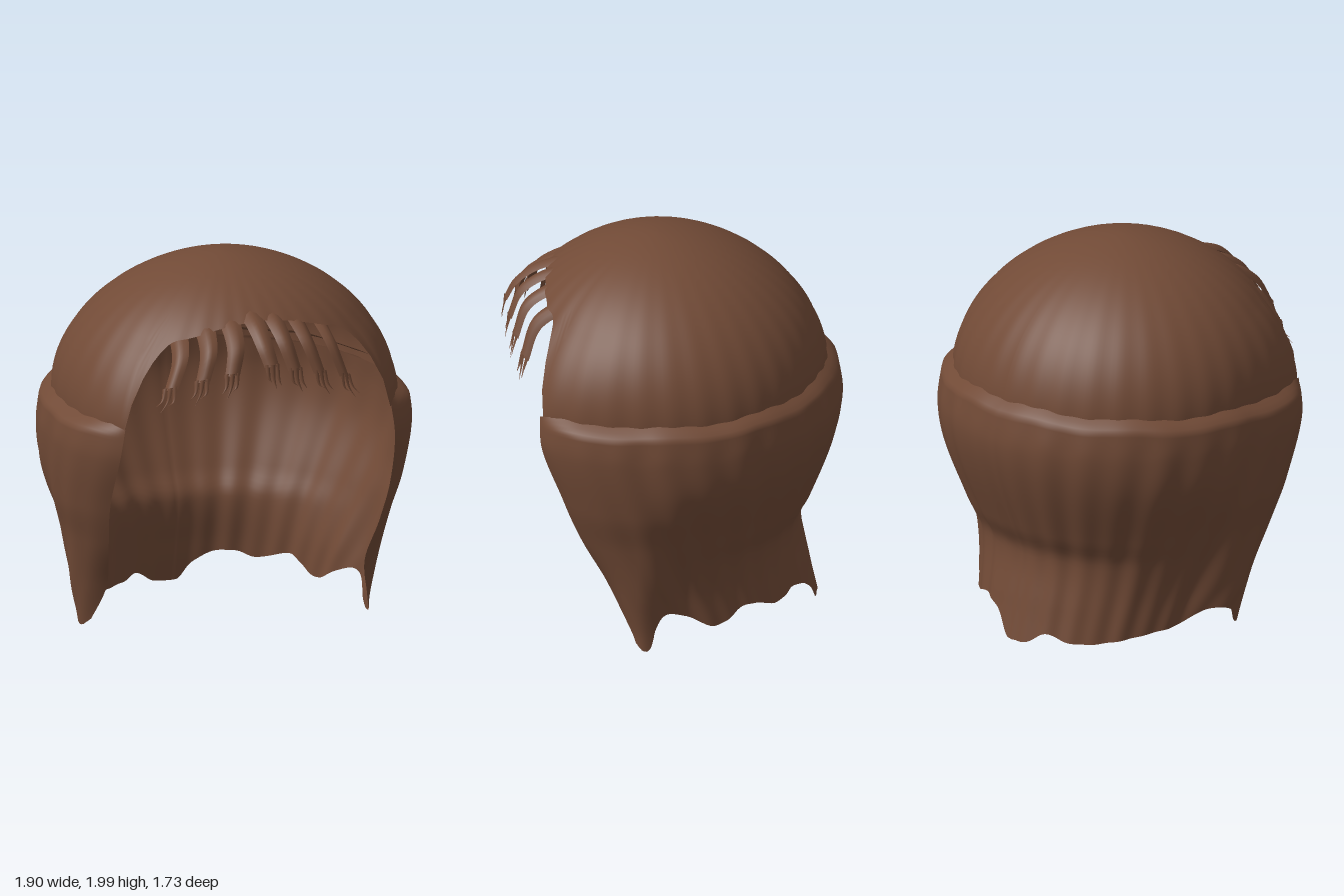
import * as THREE from 'three';

// Smooth curve through [position, value] pairs
function curve(p) {
  const n = p.length - 1;
  const slope = (i) => {
    const a = p[Math.max(0, i - 1)], b = p[Math.min(n, i + 1)];
    return (b[1] - a[1]) / (b[0] - a[0]);
  };
  return (x) => {
    if (x <= p[0][0]) return p[0][1];
    if (x >= p[n][0]) return p[n][1];
    let i = 0;
    while (x > p[i + 1][0]) i++;
    const h = p[i + 1][0] - p[i][0], t = (x - p[i][0]) / h, t2 = t * t, t3 = t2 * t;
    return (2 * t3 - 3 * t2 + 1) * p[i][1] + (t3 - 2 * t2 + t) * h * slope(i)
      + (3 * t2 - 2 * t3) * p[i + 1][1] + (t3 - t2) * h * slope(i + 1);
  };
}

// Surface from a rule fn(u, v) -> [x, y, z]; v runs downwards
function sheet(cols, rows, fn) {
  const pos = [], idx = [];
  for (let j = 0; j <= rows; j++)
    for (let i = 0; i <= cols; i++) pos.push(...fn(i / cols, j / rows));
  const w = cols + 1;
  for (let j = 0; j < rows; j++)
    for (let i = 0; i < cols; i++) {
      const a = j * w + i;
      idx.push(a, a + w, a + 1, a + 1, a + w, a + w + 1);
    }
  const g = new THREE.BufferGeometry();
  g.setAttribute('position', new THREE.Float32BufferAttribute(pos, 3));
  g.setIndex(idx);
  g.computeVertexNormals();
  return g;
}

// Radius of a superellipse in the direction phi (0 = front)
function radius(phi, rx, rz, n) {
  const s = Math.abs(Math.sin(phi)) / rx, c = Math.abs(Math.cos(phi)) / rz;
  return Math.pow(Math.pow(s, n) + Math.pow(c, n), -1 / n);
}

// Lower rim of the cap by angle: arched over the face
const rim = curve([[0, 1.79], [0.3, 1.77], [0.6, 1.72], [0.74, 1.69], [0.82, 1.6],
  [0.87, 1.45], [0.91, 1.25], [1.1, 1.25], [3.15, 1.29]]);

function capPoint(u, v) {
  const phi = (u * 2 - 1) * Math.PI, y0 = rim(Math.abs(phi));
  const a = v * Math.acos(Math.min(1, Math.max(0, (y0 - 1.25) / 0.75)));
  const y = 1.25 + 0.75 * Math.cos(a), s = Math.max(0, (y - 1.28) / 0.72);
  const front = Math.max(0, Math.cos(phi));
  const n = 2 + 0.45 * Math.max(0, 1 - s / 0.55) * Math.min(1, front * 3);
  const k = Math.pow(Math.max(0, 1 - s * s), 0.55);
  const r = k * (radius(phi, 0.87, 0.83, n) + 0.003 * Math.sin(phi * 34) * v);
  return [r * Math.sin(phi), y, 0.04 + 0.04 * s + r * Math.cos(phi)];
}

// Long hair: section sizes by height; the nape is narrower than the side flaps
const sideR = curve([[0, 0.78], [0.1, 0.785], [0.3, 0.82], [0.6, 0.865], [0.8, 0.915], [1.1, 0.945], [1.3, 0.925]]);
const napeR = curve([[0, 0.67], [0.1, 0.68], [0.3, 0.71], [0.6, 0.81], [0.9, 0.925], [1.1, 0.945], [1.3, 0.925]]);
const backR = curve([[0, 0.78], [0.2, 0.735], [0.47, 0.69], [0.6, 0.75], [0.9, 0.865], [1.1, 0.905], [1.3, 0.88]]);
const frontR = curve([[0, 0.2], [0.1, 0.2], [0.35, 0.31], [0.6, 0.49], [0.85, 0.6], [1.1, 0.697], [1.28, 0.7]]);
const edgeAngle = curve([[0, 1.49], [0.1, 1.44], [0.35, 1.25], [0.6, 1.113], [0.85, 1.023], [1.1, 0.923], [1.28, 0.895]]);
// Ragged hem from the front edge (0) to the middle of the back (1)
const hemLeft = curve([[0, 0.05], [0.02, 0.01], [0.05, 0.02], [0.1, 0.12], [0.17, 0.2], [0.24, 0.17],
  [0.33, 0.1], [0.4, 0.11], [0.5, 0.18], [0.55, 0.18], [0.665, 0.14], [0.76, 0.17], [0.845, 0.16],
  [0.924, 0.1], [0.97, 0.02], [1, 0.01]]);
const hemRight = curve([[0, 0.14], [0.02, 0.1], [0.05, 0.11], [0.1, 0.18], [0.18, 0.19], [0.27, 0.12],
  [0.36, 0.1], [0.45, 0.08], [0.55, 0.06], [0.65, 0.045], [0.76, 0.05], [0.84, 0.08], [0.92, 0.02], [1, 0.01]]);

function longPoint(U, V) {
  const left = U <= 0.5, u = left ? 2 * U : 2 - 2 * U, v = Math.pow(V, 1.3);
  const top = 1.27 + 0.05 * u + 0.006 * Math.sin(u * 23);
  let y = top + (Math.max(0, (left ? hemLeft : hemRight)(u)) - top) * v;
  const e = edgeAngle(y), phi = e + u * (Math.PI - e);
  const front = phi < Math.PI / 2;
  const fold = THREE.MathUtils.smoothstep(phi, 1.5, 1.85);
  const rx = THREE.MathUtils.lerp(sideR(y), napeR(y), fold);
  let r = radius(phi, rx, front ? frontR(y) : backR(y), front ? 3 : 2);
  // Strand ripples, and a rounded shoulder meeting the cap
  const wave = Math.sin(u * 62) * 0.6 + Math.sin(u * 37 + 1) * 0.4;
  r += 0.007 * wave * Math.min(1, u * 5) * Math.min(1, v * 8);
  const shoulder = Math.min(1, u * 8) * Math.pow(Math.max(0, 1 - v / 0.04), 2);
  r *= 1 - 0.1 * shoulder;
  y += 0.03 * shoulder;
  return [(left ? 1 : -1) * r * Math.sin(phi), y, 0.04 + r * Math.cos(phi)];
}

// Curved ribbon following points, half width w(t), facing outward at angle turn
function ribbon(points, turn, w) {
  const path = new THREE.CatmullRomCurve3(points);
  return sheet(4, 14, (u, v) => {
    const p = path.getPoint(v), k = u * 2 - 1, d = k * w(v), bend = w(v) * k * k;
    return [p.x + d * Math.cos(turn) - bend * 0.5 * Math.sin(turn),
      p.y - d * 0.5 * Math.sin(turn) - bend * 0.25,
      p.z - d * Math.sin(turn) - bend * 0.5 * Math.cos(turn)];
  });
}

export function createModel() {
  const model = new THREE.Group();
  model.name = 'wig';
  const hair = new THREE.MeshStandardMaterial({ color: 0x714a36, side: THREE.DoubleSide });
  hair.name = 'brown hair';
  const add = (parent, name, geometry) => {
    const m = new THREE.Mesh(geometry, hair);
    m.name = name;
    parent.add(m);
  };

  add(model, 'cap', sheet(200, 36, capPoint));
  add(model, 'longHair', sheet(240, 48, longPoint));

  // Fringe: [root x, root y, tip x, tip y, tip z]
  const fringe = new THREE.Group();
  fringe.name = 'fringe';
  model.add(fringe);
  const V = (x, y, z) => new THREE.Vector3(x, y, z);
  const locks = [
    [-0.40, 1.73, -0.56, 1.37, 0.71], [-0.28, 1.77, -0.40, 1.42, 0.79], [-0.15, 1.79, -0.24, 1.45, 0.83],
    [-0.035, 1.80, 0.01, 1.49, 0.87], [0.08, 1.80, 0.16, 1.45, 0.84], [0.21, 1.78, 0.32, 1.41, 0.80],
    [0.36, 1.74, 0.48, 1.36, 0.74],
  ];
  for (const [rx, ry, tx, ty, tz] of locks) {
    const rz = tz - 0.29, dx = tx - rx, turn = rx * 1.6;
    const end = V(rx + dx * 0.65, ty + 0.12, tz - 0.01);
    const lock = new THREE.Group();
    lock.name = 'fringeLock';
    fringe.add(lock);
    const body = [V(rx, ry + 0.03, rz), V(rx + dx * 0.08, ry - 0.02, rz + 0.13),
      V(rx + dx * 0.25, ry - 0.1, rz + 0.23), end];
    add(lock, 'lockBody', ribbon(body, turn, (t) => 0.056 - 0.018 * t));
    // Split tips
    for (const k of [-1, 0, 1]) {
      const d = k * 0.025;
      const tip = [V(end.x + d * Math.cos(turn), end.y + 0.01 - d * 0.5 * Math.sin(turn), end.z - d * Math.sin(turn) - 0.01 * k * k),
        V(end.x + d + dx * 0.1, end.y - 0.06, end.z + 0.005 - d * Math.sin(turn)),
        V(tx + d, ty + 0.025 * (k * Math.sign(dx) < 0 ? 1.6 : Math.abs(k - 0.2)), tz - d * Math.sin(turn))];
      add(lock, 'lockTip', ribbon(tip, turn, (t) => 0.013 * (1 - t) + 0.001));
    }
  }
  return model;
}
